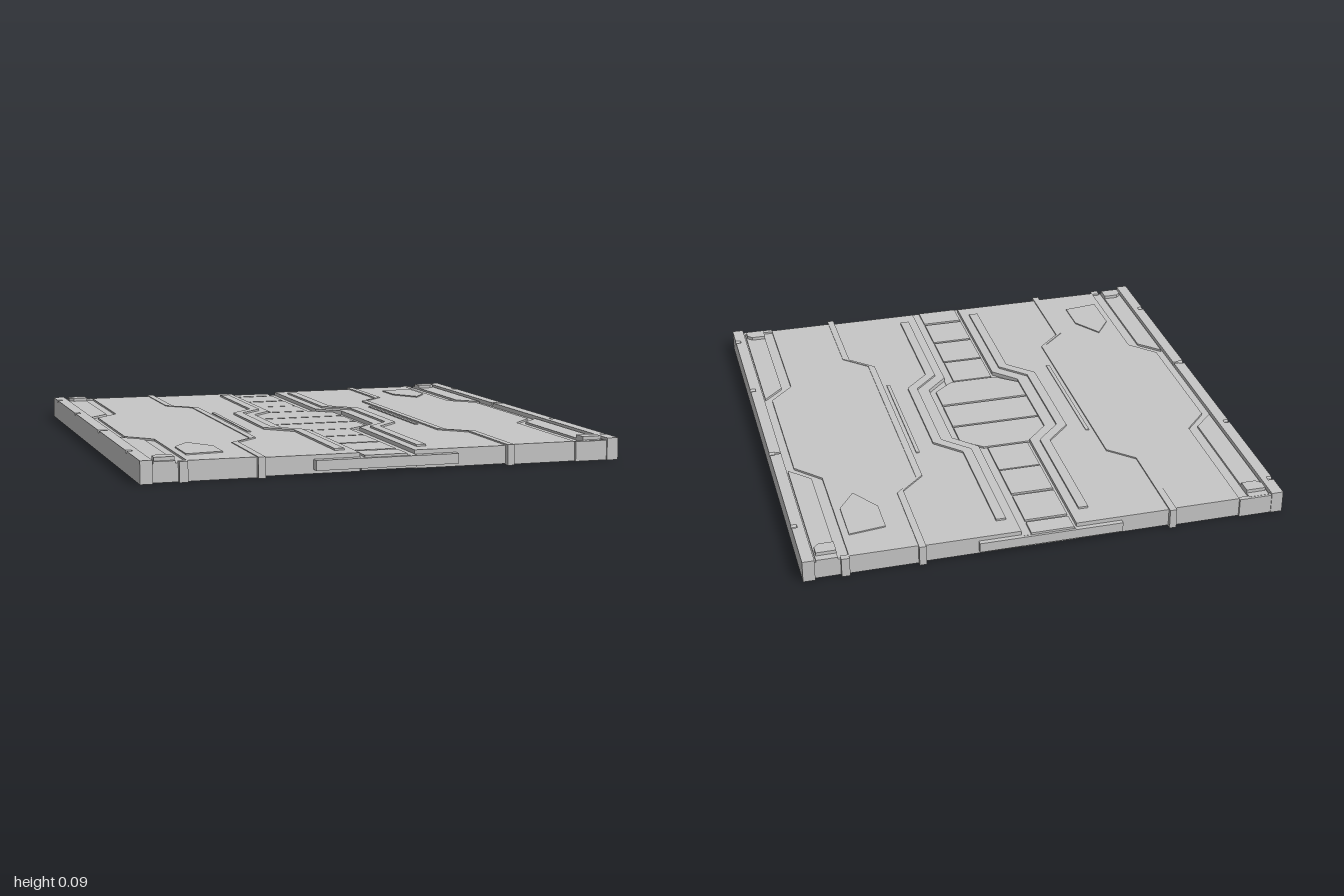
import * as THREE from 'three';

const metal = new THREE.MeshStandardMaterial({ color: 0xc6c6c6 });
metal.name = 'light grey metal';

// Deck ends along z
const BACK = -0.98, FRONT = 0.965;

export function createModel() {
  const model = new THREE.Group();
  model.name = 'floorPanel';

  const add = (name, geometry) => {
    const mesh = new THREE.Mesh(geometry, metal);
    mesh.name = name;
    model.add(mesh);
  };

  // Flat plate from an outline of [x, z] points between two heights
  const plate = (name, points, y0, y1) => {
    const shape = new THREE.Shape(points.map(([x, z]) => new THREE.Vector2(x, z)));
    const geo = new THREE.ExtrudeGeometry(shape, { depth: y1 - y0, bevelEnabled: false });
    add(name, geo.rotateX(Math.PI / 2).translate(0, y1, 0));
  };
  const box = (name, x0, x1, y0, y1, z0, z1) => add(name,
    new THREE.BoxGeometry(x1 - x0, y1 - y0, z1 - z0)
      .translate((x0 + x1) / 2, (y0 + y1) / 2, (z0 + z1) / 2));

  // Line running along z: at xEnd near the ends, at xMid between the bends
  const bentLine = (xEnd, xMid, zEnd, zMid, back = BACK, front = FRONT) => [
    [xEnd, back], [xEnd, -zEnd], [xMid, -zMid], [xMid, zMid], [xEnd, zEnd], [xEnd, front],
  ];
  // Closed outline between two such lines, mirrored to one side
  const between = (a, b, s) => [...a, ...[...b].reverse()].map(([x, z]) => [s * x, z]);

  // Core under all the plates
  box('core', -0.92, 0.92, 0.01, 0.06, BACK + 0.005, FRONT - 0.005);

  for (const s of [1, -1]) {
    const side = s > 0 ? 'left' : 'right';
    const mirrored = (name, x0, x1, ...rest) =>
      box(side + name, Math.min(s * x0, s * x1), Math.max(s * x0, s * x1), ...rest);

    // Inner deck, from the channel wall to the seam
    plate(side + 'InnerDeck', between(
      bentLine(0.112, 0.205, 0.31, 0.215), bentLine(0.498, 0.398, 0.58, 0.485), s), 0.004, 0.077);

    // Raised seam, ending in tabs
    plate(side + 'Seam', between(
      bentLine(0.497, 0.397, 0.58, 0.485, -0.998, 0.988),
      bentLine(0.525, 0.425, 0.592, 0.497, -0.998, 0.988), s), 0, 0.083);

    // Outer deck, up to the edge step
    plate(side + 'OuterDeck', between(
      bentLine(0.525, 0.425, 0.592, 0.497), bentLine(0.797, 0.897, 0.4, 0.295), s), 0, 0.08);

    // Edge floor outside the step
    plate(side + 'EdgeFloor', between(
      bentLine(0.797, 0.897, 0.4, 0.295), bentLine(0.932, 0.932, 0.4, 0.295), s), 0, 0.072);

    // Raised trim beside the channel
    plate(side + 'ChannelTrim', between(
      bentLine(0.15, 0.255, 0.335, 0.23, -0.885, 0.885),
      bentLine(0.19, 0.295, 0.35, 0.245, -0.885, 0.885), s), 0.07, 0.085);

    // Thin trim beside the seam
    mirrored('SeamTrim', 0.365, 0.38, 0.07, 0.081, -0.3, 0.3);

    // Corner plates and latches
    for (const e of [1, -1]) {
      const end = e > 0 ? FRONT : -BACK;
      plate(side + 'CornerPlate', [[0.84, end], [0.925, end], [0.925, 0.31], [0.84, 0.395]]
        .map(([x, z]) => [s * x, e * z]), 0.06, 0.081);
      plate(side + 'CornerLatch', [[0.84, 0.95], [0.92, 0.95], [0.92, 0.91], [0.9, 0.89], [0.84, 0.89]]
        .map(([x, z]) => [s * x, e * z]), 0.075, 0.095);
    }

    // Five-sided hatch, turned half round on the other side
    plate(side + 'Hatch', [[0.62, -0.82], [0.77, -0.84], [0.77, -0.65], [0.7, -0.55], [0.62, -0.67]]
      .map(([x, z]) => [s * x, s * z]), 0.075, 0.085);

    // End blocks: a wide one at one end and a narrow tab at the other
    const z0 = s > 0 ? FRONT - 0.01 : -0.99;
    const z1 = s > 0 ? 0.978 : BACK + 0.01;
    mirrored('EndBlock', 0.797, 0.932, 0, 0.08, z0, z1);
    mirrored('EndTab', 0.797, 0.83, 0, 0.08, s > 0 ? -0.997 : FRONT - 0.01, s > 0 ? BACK + 0.01 : 0.987);

    // Edge rail: inner strip split in two, outer strip with notches
    const split = s > 0 ? -0.175 : 0.16;
    mirrored('RailBack', 0.932, 0.957, 0, 0.09, -0.993, split - 0.006);
    mirrored('RailFront', 0.932, 0.957, 0, 0.09, split + 0.006, 0.985);
    mirrored('RailJoint', 0.932, 0.957, 0, 0.08, split - 0.006, split + 0.006);
    const notches = s > 0 ? [-0.74, split, 0.39, 0.87] : [-0.88, -0.4, split, 0.73];
    const profile = new THREE.Shape();
    profile.moveTo(-0.993, 0).lineTo(-0.993, 0.09);
    for (const z of notches) {
      profile.lineTo(z - 0.012, 0.09).lineTo(z - 0.007, 0.08);
      profile.lineTo(z + 0.007, 0.08).lineTo(z + 0.012, 0.09);
    }
    profile.lineTo(0.985, 0.09).lineTo(0.985, 0);
    const rail = new THREE.ExtrudeGeometry(profile, { depth: 0.023, bevelEnabled: false });
    add(side + 'NotchedRail', rail.rotateY(-Math.PI / 2).translate(s > 0 ? 0.98 : -0.957, 0, 0));
  }

  // Channel floor
  box('channelFloor', -0.113, 0.113, 0.01, 0.061, -0.99, 0.985);

  // Channel tiles
  const tiles = [[-0.99, -0.91], [-0.895, -0.71], [-0.695, -0.512], [-0.505, -0.32],
    [0.283, 0.465], [0.475, 0.66], [0.672, 0.855], [0.87, 0.985]];
  for (const [a, b] of tiles) box('channelTile', -0.1, 0.075, 0.055, 0.069, a, b);

  // Eight-sided centre in three panels
  plate('centrePanelBack', [[-0.205, -0.12], [0.175, -0.12], [0.175, -0.235], [0.09, -0.31],
    [-0.125, -0.31], [-0.205, -0.235]], 0.055, 0.069);
  box('centrePanelMiddle', -0.205, 0.175, 0.055, 0.069, -0.11, 0.068);
  plate('centrePanelFront', [[-0.205, 0.08], [0.175, 0.08], [0.175, 0.205], [0.09, 0.275],
    [-0.115, 0.275], [-0.205, 0.205]], 0.055, 0.069);

  // Connector bars at both ends
  box('frontConnector', -0.3, 0.285, 0.02, 0.06, 0.94, 0.998);
  box('backConnector', -0.3, 0.285, 0.02, 0.06, -1, -0.95);

  return model;
}
